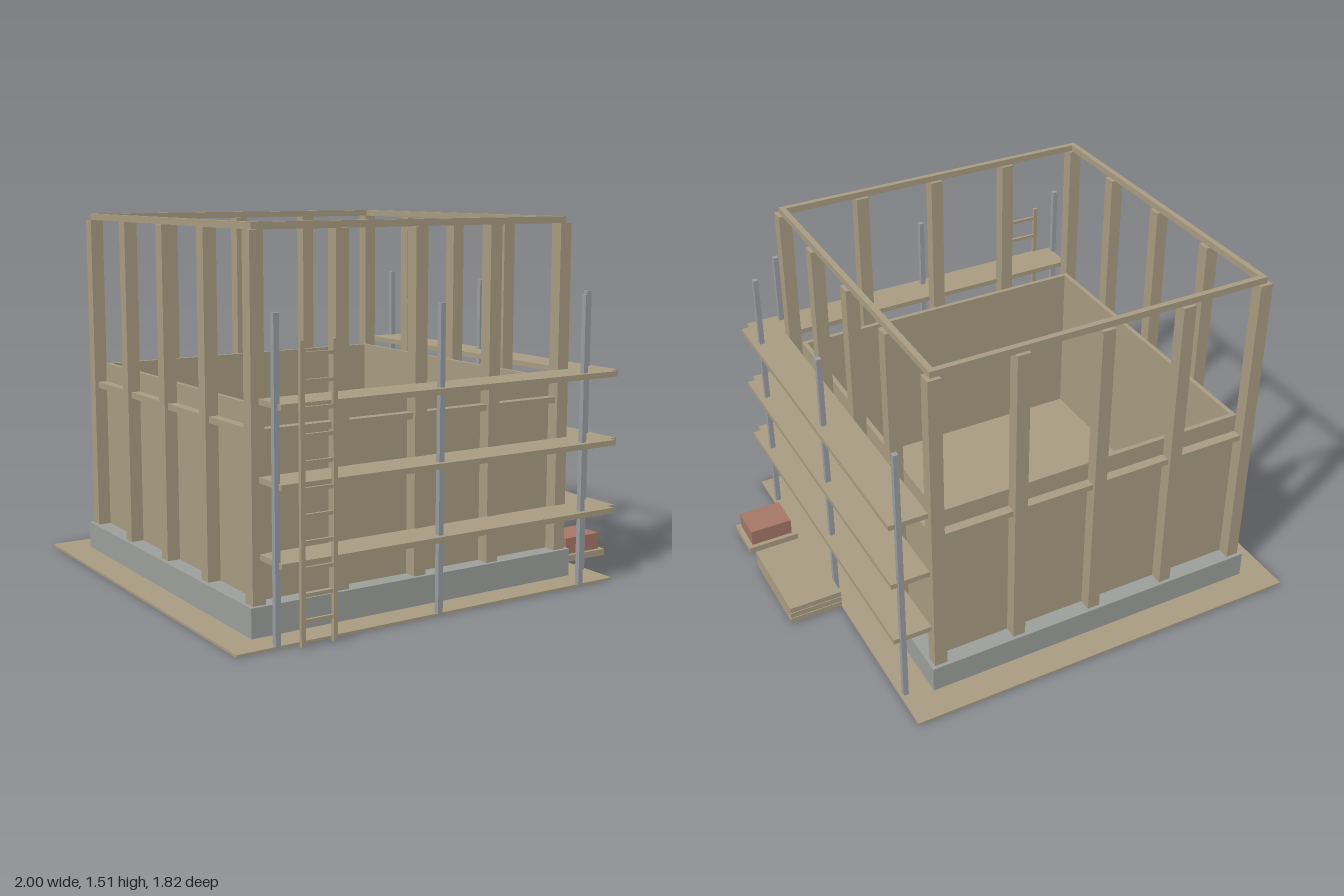
import * as THREE from 'three';

export function createModel() {
  const model = new THREE.Group();
  const mat = (name, color) => Object.assign(new THREE.MeshStandardMaterial({ color }), { name });
  const timber = mat('timber', 0xa99c82);
  const concrete = mat('concrete', 0x9c9f9b);
  const steel = mat('steel', 0x9a9ea1);
  const brick = mat('brick', 0xa67767);

  // Box given by its extents along each axis
  function block(name, material, [x0, x1], [y0, y1], [z0, z1], parent = model) {
    const mesh = new THREE.Mesh(new THREE.BoxGeometry(x1 - x0, y1 - y0, z1 - z0), material);
    mesh.position.set((x0 + x1) / 2, (y0 + y1) / 2, (z0 + z1) / 2);
    mesh.name = name;
    parent.add(mesh);
    return mesh;
  }

  // Ground sheet
  block('ground', timber, [-1, 0.77], [0, 0.01], [-0.91, 0.853]);

  // House, built around its own centre
  const house = new THREE.Group();
  house.name = 'house';
  house.position.set(-0.118, 0, -0.022);
  model.add(house);
  block('foundation', concrete, [-0.757, 0.757], [0.002, 0.125], [-0.757, 0.757], house);
  block('floor', timber, [-0.667, 0.667], [0.12, 0.13], [-0.667, 0.667], house);

  // Four equal sides, each turned a quarter
  const span = 0.7135, step = span / 2, post = 0.0275;
  for (let side = 0; side < 4; side++) {
    const frame = new THREE.Group();
    frame.name = 'wallFrame';
    frame.rotation.y = side * Math.PI / 2;
    house.add(frame);
    for (let i = 0; i < 4; i++) {
      const x = -span + i * step;
      block('post', timber, [x - post, x + post], [0.125, 1.479], [span - post, span + post], frame);
    }
    block('wallPanel', timber, [-0.687, 0.667], [0.125, 0.85], [0.667, 0.687], frame);
    block('wallRail', timber, [-0.687, 0.687], [0.745, 0.77], [0.687, 0.727], frame);
    block('topBeam', timber, [-0.725, 0.701], [1.479, 1.506], [0.701, 0.725], frame);
  }

  // Scaffold around the front and the +x side
  const scaffold = new THREE.Group();
  scaffold.name = 'scaffold';
  model.add(scaffold);
  const pole = (x, z) =>
    block('scaffoldPole', steel, [x - 0.011, x + 0.011], [0.003, 1.2], [z - 0.011, z + 0.011], scaffold);
  for (const x of [-0.832, -0.118, 0.596]) pole(x, 0.845);
  for (const z of [-0.738, -0.024, 0.69]) pole(0.747, z);
  for (const y of [0.294, 0.578, 0.862]) {
    block('frontBoard', timber, [-0.828, 0.747], [y, y + 0.022], [0.715, 0.878], scaffold);
    block('sideBoard', timber, [0.623, 0.785], [y, y + 0.022], [-0.738, 0.842], scaffold);
  }

  // Ladder
  const ladder = new THREE.Group();
  ladder.name = 'ladder';
  model.add(ladder);
  for (const x of [-0.756, -0.621]) {
    block('ladderRail', timber, [x - 0.009, x + 0.009], [0.005, 1.105], [0.889, 0.905], ladder);
  }
  for (let i = 0; i < 11; i++) {
    const y = 0.1 + i * 0.0957;
    block('ladderRung', timber, [-0.747, -0.63], [y - 0.007, y + 0.007], [0.891, 0.903], ladder);
  }

  // Plank stack
  for (let i = 0; i < 3; i++) {
    const y = 0.005 + i * 0.028;
    block('plank', timber, [0.768, 1], [y, y + 0.024], [-0.14, 0.282]);
  }

  // Brick pile on its pallet
  block('pallet', timber, [0.768, 1], [0.005, 0.033], [0.375, 0.565]);
  block('bricks', brick, [0.79, 0.979], [0.033, 0.105], [0.395, 0.547]);

  return model;
}
